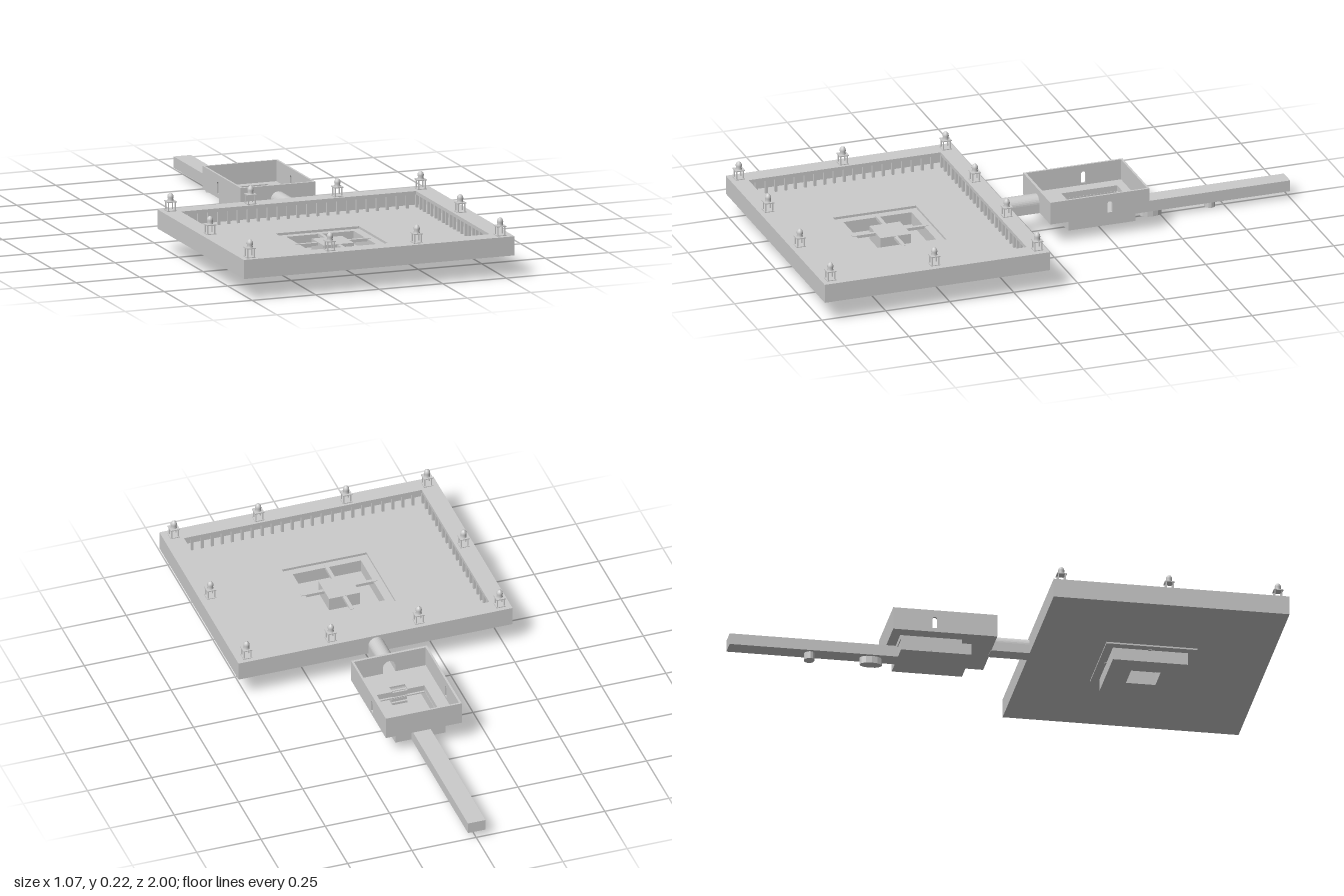
import * as THREE from 'three';

const mat = new THREE.MeshStandardMaterial({ color: 0xcccccc, flatShading: true, side: THREE.DoubleSide });
const smooth = new THREE.MeshStandardMaterial({ color: 0xcccccc, side: THREE.DoubleSide });

function add(parent, name, geometry, material = mat) {
  const mesh = new THREE.Mesh(geometry, material);
  mesh.name = name;
  parent.add(mesh);
  return mesh;
}

// Box given by its limits on each axis
function box(parent, name, x0, x1, y0, y1, z0, z1) {
  const mesh = add(parent, name, new THREE.BoxGeometry(x1 - x0, y1 - y0, z1 - z0));
  mesh.position.set((x0 + x1) / 2, (y0 + y1) / 2, (z0 + z1) / 2);
  return mesh;
}

const rectPoints = ([x0, x1, z0, z1]) =>
  [[x0, z0], [x1, z0], [x1, z1], [x0, z1]].map(p => new THREE.Vector2(...p));

// Horizontal plate or wall ring: outline and hole as [x0, x1, z0, z1]
function ring(parent, name, outer, hole, y0, y1) {
  const shape = new THREE.Shape(rectPoints(outer));
  shape.holes.push(new THREE.Path(Array.isArray(hole[0])
    ? hole.map(p => new THREE.Vector2(...p)) : rectPoints(hole)));
  const geo = new THREE.ExtrudeGeometry(shape, { depth: y1 - y0, bevelEnabled: false });
  geo.rotateX(Math.PI / 2).translate(0, y1, 0);
  return add(parent, name, geo);
}

// Round-topped opening of half width r, centred on x
function arch(path, x, base, r, top) {
  path.moveTo(x - r, base);
  path.lineTo(x + r, base);
  path.lineTo(x + r, top - r);
  path.absarc(x, top - r, r, 0, Math.PI, false);
  path.closePath();
  return path;
}

// Upright wall along x with one arched opening, thickness along z
function archedWall(parent, name, half, y0, y1, cx, r, base, top, depth) {
  const shape = new THREE.Shape([[-half, y0], [half, y0], [half, y1], [-half, y1]]
    .map(p => new THREE.Vector2(...p)));
  shape.holes.push(arch(new THREE.Path(), cx, base, r, top));
  return add(parent, name, new THREE.ExtrudeGeometry(shape,
    { depth, bevelEnabled: false, curveSegments: 8 }));
}

// Small pavilion: four posts, a slab and a bell dome
function makePavilion() {
  const g = new THREE.Group();
  g.name = 'pavilion';
  box(g, 'pavilionBase', -0.018, 0.018, 0, 0.003, -0.018, 0.018);
  for (const x of [-0.013, 0.013]) for (const z of [-0.013, 0.013])
    box(g, 'pavilionPost', x - 0.002, x + 0.002, 0, 0.034, z - 0.002, z + 0.002);
  box(g, 'pavilionSlab', -0.018, 0.018, 0.033, 0.037, -0.018, 0.018);
  const profile = [[0.012, 0.037], [0.010, 0.044], [0.012, 0.051], [0.011, 0.058],
    [0.007, 0.064], [0, 0.068]].map(p => new THREE.Vector2(...p));
  add(g, 'pavilionDome', new THREE.LatheGeometry(profile, 12), smooth);
  return g;
}

function makePlaza() {
  const g = new THREE.Group();
  g.name = 'plaza';
  const outer = [-0.533, 0.533, 0.12, 1], court = [-0.465, 0.46, 0.185, 0.935];
  ring(g, 'courtFloor', outer, [-0.172, 0.157, 0.388, 0.712], 0.083, 0.092);
  ring(g, 'outerWall', outer, [-0.515, 0.515, 0.138, 0.982], 0.083, 0.15);
  ring(g, 'galleryRoof', outer, court, 0.142, 0.155);

  // Colonnade under the inner edge of the roof
  const [x0, x1, z0, z1] = court.map((v, i) => v + (i % 2 ? 0.006 : -0.006));
  const column = (x, z) => box(g, 'column', x - 0.005, x + 0.005, 0.09, 0.144, z - 0.005, z + 0.005);
  const nx = 24, nz = 20;
  for (let i = 0; i <= nx; i++) for (const z of [z0, z1]) column(x0 + (x1 - x0) * i / nx, z);
  for (let i = 1; i < nz; i++) for (const x of [x0, x1]) column(x, z0 + (z1 - z0) * i / nz);

  for (const x of [-0.495, -0.18, 0.162, 0.49]) for (const z of [0.155, 0.557, 0.963]) {
    if (z === 0.557 && Math.abs(x) < 0.3) continue;
    const p = makePavilion();
    p.position.set(x, 0.155, z);
    g.add(p);
  }
  return g;
}

function makePool() {
  const g = new THREE.Group();
  g.name = 'sunkenPool';
  const edge = [-0.147, 0.132, 0.41, 0.69], block = [-0.068, 0.052, 0.488, 0.608];
  const inner = [-0.14, 0.125, 0.417, 0.683];
  ring(g, 'poolLedge', [-0.18, 0.165, 0.38, 0.72], inner, 0.077, 0.083);
  ring(g, 'poolWall', edge, inner, 0.03, 0.08);
  // The central platform is hollow and open underneath
  ring(g, 'poolFloor', edge, block, 0.03, 0.035);
  ring(g, 'platformWall', block, [-0.063, 0.047, 0.493, 0.603], 0.03, 0.086);
  box(g, 'platformTop', ...block.slice(0, 2), 0.081, 0.086, ...block.slice(2));
  // Four narrow bridges
  for (const [a, b] of [[-0.155, block[0]], [block[1], 0.14]])
    box(g, 'bridge', a, b, 0.074, 0.085, 0.541, 0.555);
  for (const [a, b] of [[0.402, block[2]], [block[3], 0.698]])
    box(g, 'bridge', -0.015, -0.001, 0.074, 0.085, a, b);
  return g;
}

function makeChamber() {
  const g = new THREE.Group();
  g.name = 'chamber';
  const outer = [-0.15, 0.145, -0.41, -0.022];
  // Upper room, open to the sky, its floor cut by a stepped opening
  const opening = [[-0.095, -0.37], [0.09, -0.37], [0.09, -0.152], [0.03, -0.152],
    [0.03, -0.12], [-0.03, -0.12], [-0.03, -0.152], [-0.095, -0.152]];
  ring(g, 'chamberFloor', outer, opening, 0.085, 0.092);
  box(g, 'backWall', -0.15, 0.145, 0.085, 0.172, -0.41, -0.402);
  const front = archedWall(g, 'frontWall', 0.1475, 0.085, 0.172, 0.0025, 0.024, 0.092, 0.143, 0.01);
  front.position.set(-0.0025, 0, -0.032);
  for (const x of [-0.15, 0.137]) {
    const side = archedWall(g, 'sideWall', 0.194, 0.085, 0.172, x < 0 ? -0.039 : 0.039, 0.009, 0.1, 0.145, 0.008);
    side.rotation.y = x < 0 ? -Math.PI / 2 : Math.PI / 2;
    side.position.set(x < 0 ? -0.142 : 0.137, 0, -0.216);
  }
  // Lower room below it
  box(g, 'lowerFloor', -0.1, 0.095, 0.027, 0.032, -0.372, -0.11);
  ring(g, 'lowerWall', [-0.1, 0.095, -0.372, -0.11], [-0.094, 0.089, -0.366, -0.116], 0.03, 0.07);
  ring(g, 'lowerNeck', [-0.1, 0.095, -0.375, -0.145], [-0.095, 0.09, -0.37, -0.152], 0.066, 0.087);
  ring(g, 'lowerCeiling', [-0.1, 0.095, -0.16, -0.11], [-0.03, 0.03, -0.155, -0.12], 0.066, 0.07);
  // Steps leading down through the notch
  for (let i = 0; i < 4; i++)
    box(g, 'step', -0.03, 0.03, 0.03, 0.077 - i * 0.012, -0.128 - i * 0.008, -0.12 - i * 0.008);
  // Slim pilasters on the outside of the lower room
  for (const x of [-0.1, 0.095])
    box(g, 'pilaster', x - 0.002, x + 0.002, 0.03, 0.067, -0.259, -0.251);
  return g;
}

// Vaulted passage between plaza and chamber
function makePassage() {
  const shell = arch(new THREE.Shape(), 0, 0.083, 0.03, 0.148);
  shell.holes.push(arch(new THREE.Path(), 0, 0.089, 0.025, 0.143));
  const geo = new THREE.ExtrudeGeometry(shell, { depth: 0.155, bevelEnabled: false, curveSegments: 8 });
  const mesh = new THREE.Mesh(geo.translate(-0.002, 0, -0.025), mat);
  mesh.name = 'vaultedPassage';
  return mesh;
}

function makeCorridor() {
  const g = new THREE.Group();
  g.name = 'rearCorridor';
  box(g, 'corridor', -0.036, 0.032, 0.027, 0.07, -1, -0.367);
  // Shafts sunk below the corridor
  for (const [z, depth] of [[-0.468, 0.042], [-0.697, 0.02]]) {
    const shaft = add(g, 'shaft', new THREE.CylinderGeometry(1, 1, 0.03, 12));
    shaft.scale.set(0.023, 1, depth);
    shaft.position.set(-0.003, 0.015, z);
  }
  return g;
}

export function createModel() {
  const model = new THREE.Group();
  model.name = 'plazaComplex';
  model.add(makePlaza(), makePool(), makePassage(), makeChamber(), makeCorridor());
  return model;
}
